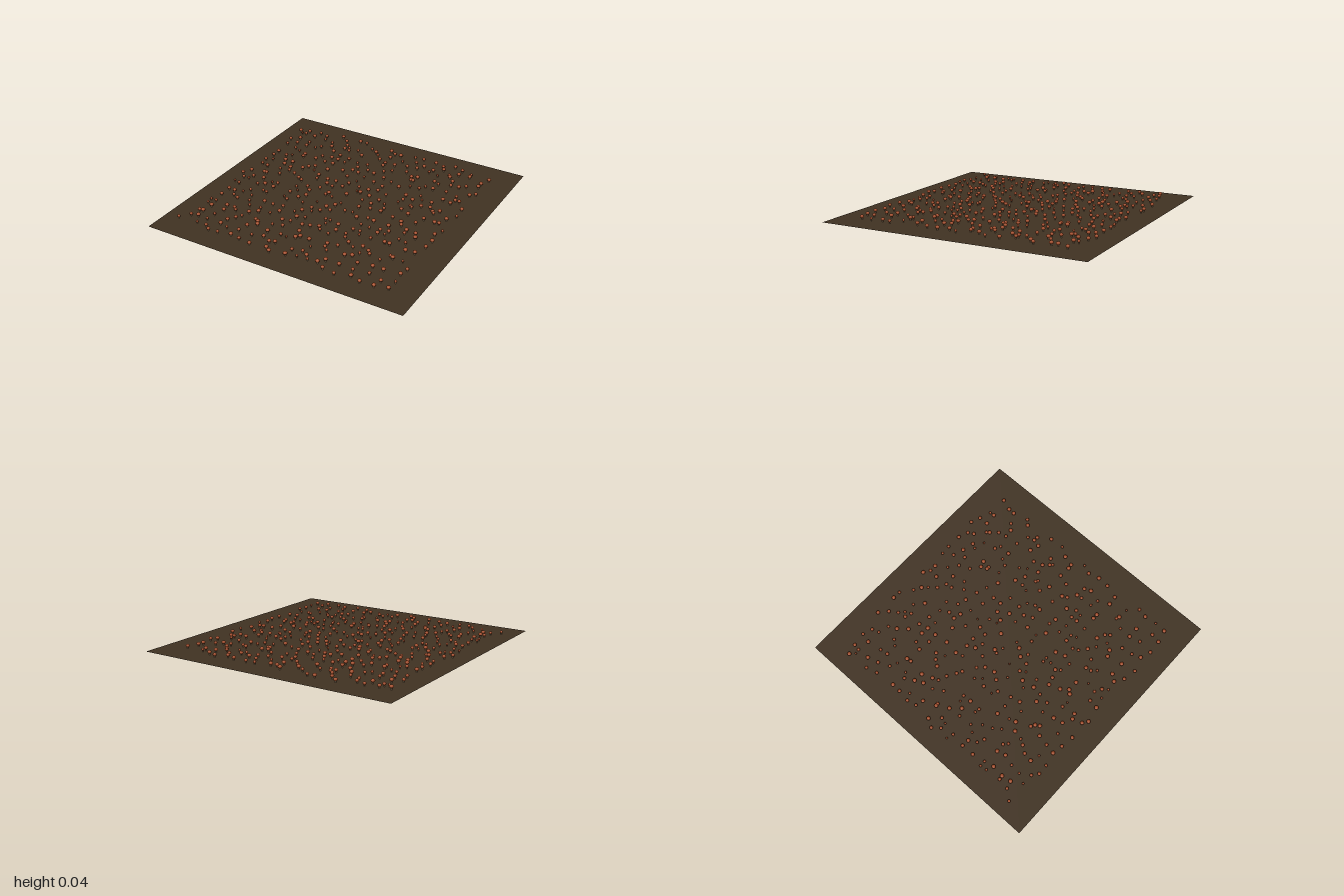
import * as THREE from 'three';
import { mergeGeometries } from 'three/addons/utils/BufferGeometryUtils.js';

// Small seeded generator for repeatable scatter
function seeded(seed) {
  let s = seed;
  return () => {
    s = (s * 1664525 + 1013904223) % 4294967296;
    return s / 4294967296;
  };
}

export function createModel() {
  const model = new THREE.Group();
  const soil = new THREE.MeshStandardMaterial({ color: 0x403222, side: THREE.DoubleSide });
  soil.name = 'dark soil';
  const rust = new THREE.MeshStandardMaterial({ color: 0xa04a26 });
  rust.name = 'rust brown';
  const pale = new THREE.MeshStandardMaterial({ color: 0x8a7358 });
  pale.name = 'pale stem';

  // Flat square of soil
  const ground = new THREE.Mesh(new THREE.PlaneGeometry(2, 2).rotateX(-Math.PI / 2), soil);
  ground.name = 'ground';
  ground.position.y = 0.004;
  model.add(ground);

  // One mushroom: a slightly flattened round cap on a thin stem
  const cap = new THREE.SphereGeometry(0.016, 10, 7).scale(1, 0.75, 1).translate(0, 0.026, 0);
  const stem = new THREE.CylinderGeometry(0.005, 0.006, 0.026, 7).translate(0, 0.013, 0);

  // Scatter on a jittered grid
  const random = seeded(41);
  const caps = [], stems = [];
  const count = 20, step = 0.0855;
  for (let i = 0; i < count; i++) {
    for (let j = 0; j < count; j++) {
      const x = -0.85 + i * step + (random() - 0.5) * 0.075;
      const z = -0.81 + j * step + (random() - 0.5) * 0.075;
      const width = 0.42 + 0.58 * Math.sqrt(random());
      const height = 0.7 + 0.3 * width;
      if (random() < 0.04) continue;
      const place = (g) => g.clone().scale(width, height, width).translate(x, 0, z);
      caps.push(place(cap));
      stems.push(place(stem));
    }
  }

  const capMesh = new THREE.Mesh(mergeGeometries(caps), rust);
  capMesh.name = 'mushroomCaps';
  const stemMesh = new THREE.Mesh(mergeGeometries(stems), pale);
  stemMesh.name = 'mushroomStems';
  model.add(capMesh, stemMesh);
  return model;
}
